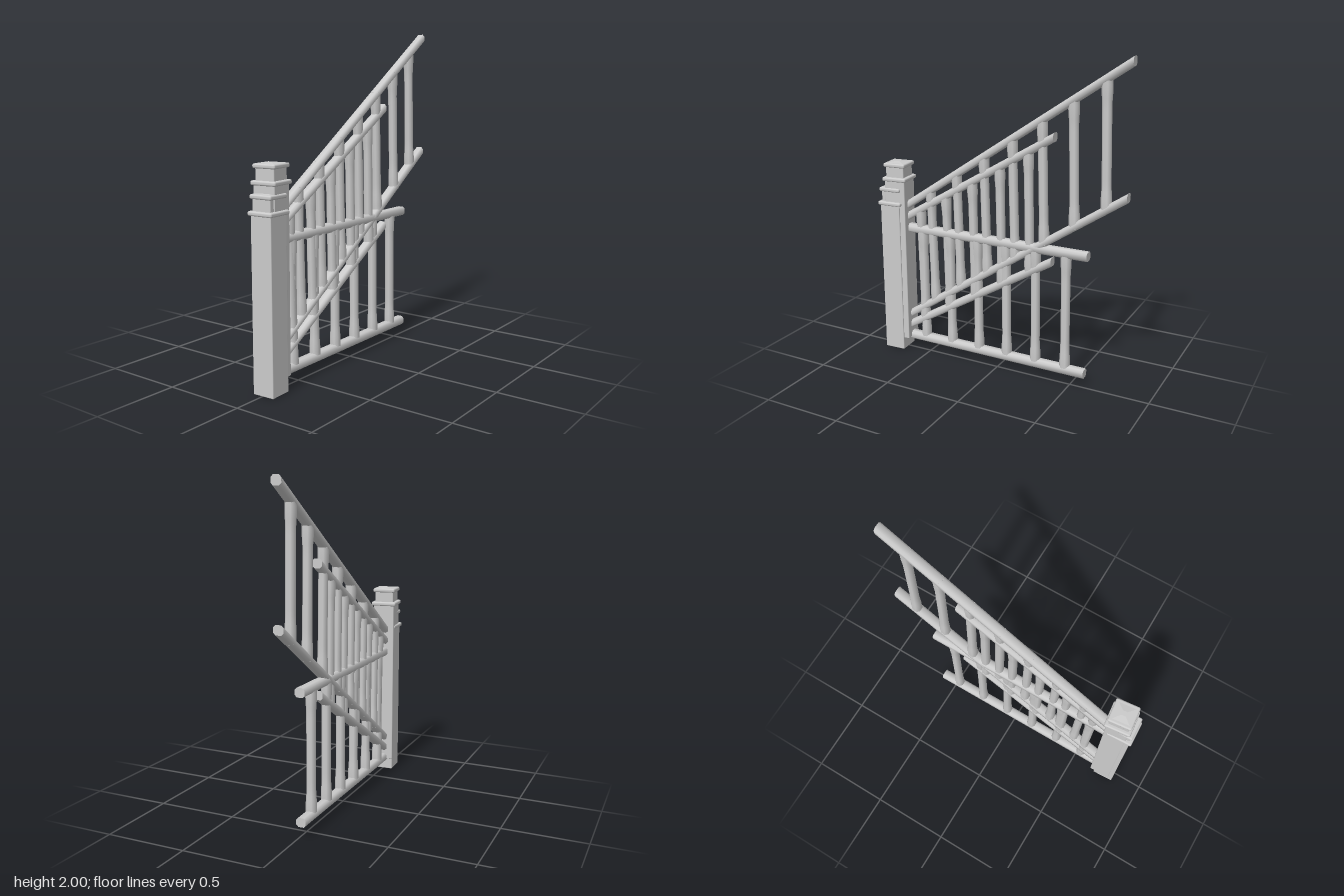
import * as THREE from 'three';
import { RoundedBoxGeometry } from 'three/addons/geometries/RoundedBoxGeometry.js';
import { toCreasedNormals } from 'three/addons/utils/BufferGeometryUtils.js';

const material = new THREE.MeshStandardMaterial({ color: 0xcccccc });
const railZ = -0.01;

function addMesh(parent, name, geometry, x = 0, y = 0, z = 0) {
  const mesh = new THREE.Mesh(geometry, material);
  mesh.name = name;
  mesh.position.set(x, y, z);
  parent.add(mesh);
  return mesh;
}

// Rectangle with chamfered corners
function chamferedRect(w, h, c) {
  const a = w / 2, b = h / 2;
  return new THREE.Shape([
    [a - c, -b], [a, c - b], [a, b - c], [a - c, b],
    [c - a, b], [-a, b - c], [-a, c - b], [c - a, -b],
  ].map(([x, y]) => new THREE.Vector2(x, y)));
}

// Rail sheared upward along x, so its ends stay vertical
function railGeometry(length, slope) {
  const g = new THREE.ExtrudeGeometry(chamferedRect(0.06, 0.055, 0.013), { depth: length, bevelEnabled: false });
  g.rotateY(Math.PI / 2);
  const p = g.attributes.position;
  for (let i = 0; i < p.count; i++) p.setY(i, p.getY(i) + p.getX(i) * slope);
  g.computeVertexNormals();
  return toCreasedNormals(g, 0.9);
}

// Upright bar, a little thicker at both ends, leaning by `lean` from foot to head
function balusterGeometry(height, lean) {
  const steps = 20;
  const g = new THREE.ExtrudeGeometry(chamferedRect(0.05, 0.05, 0.013), { depth: height, steps, bevelEnabled: false });
  g.rotateX(-Math.PI / 2);
  const p = g.attributes.position;
  for (let i = 0; i < p.count; i++) {
    const t = p.getY(i) / height;
    const end = Math.min(t, 1 - t);
    const s = 1 + 0.18 * (1 - THREE.MathUtils.smoothstep(end, 0.08, 0.2));
    p.setX(i, p.getX(i) * s + lean * (0.5 - t));
    p.setZ(i, p.getZ(i) * s);
  }
  g.computeVertexNormals();
  return toCreasedNormals(g, 0.9);
}

// Two parallel rails with evenly spaced balusters between them
function railing({ name, end, low, high, slope, first, spacing, count, lean }) {
  const group = new THREE.Group();
  group.name = name;
  const start = -0.65;
  const rail = railGeometry(end - start, slope);
  addMesh(group, 'lowerRail', rail, start, low, railZ);
  addMesh(group, 'upperRail', rail, start, high, railZ);
  const baluster = balusterGeometry(high - low, lean);
  for (let i = 0; i < count; i++) {
    const x = first + i * spacing;
    addMesh(group, 'baluster', baluster, x, low + (x - start) * slope, railZ);
  }
  return group;
}

// Square newel post with collar, neck and shallow pyramid cap
function newelPost(name, x, y, z, bodyHeight, turn) {
  const group = new THREE.Group();
  group.name = name;
  group.position.set(x, y, z);
  group.rotation.y = turn;
  const block = (part, size, bottom, height, r = 0.005) =>
    addMesh(group, part, new RoundedBoxGeometry(size, height, size, 2, r), 0, bottom + height / 2, 0);
  block('body', 0.137, 0, bodyHeight + 0.01);
  block('collar', 0.163, bodyHeight, 0.026, 0.01);
  block('neck', 0.122, bodyHeight + 0.015, 0.09);
  block('cap', 0.147, bodyHeight + 0.09, 0.026, 0.01);
  const peak = new THREE.CylinderGeometry(0.02, 0.093, 0.008, 4, 1).toNonIndexed();
  peak.rotateY(Math.PI / 4);
  peak.computeVertexNormals();
  addMesh(group, 'capPeak', peak, 0, bodyHeight + 0.118, 0);
  return group;
}

export function createModel() {
  const model = new THREE.Group();
  model.name = 'stairRailing';

  // Two posts set into one another
  model.add(newelPost('lowerPost', -0.738, 0, 0.005, 0.99, 0.05));
  model.add(newelPost('upperPost', -0.706, 0.08, -0.002, 1.07, 0.11));

  model.add(railing({
    name: 'steepRailing', end: 0.815, low: 0.238, high: 0.988, slope: 0.671,
    first: -0.465, spacing: 0.19, count: 7, lean: 0.024,
  }));
  model.add(railing({
    name: 'shortRailing', end: 0.365, low: 0.163, high: 0.913, slope: 0.6,
    first: -0.545, spacing: 0.188, count: 5, lean: 0.018,
  }));
  model.add(railing({
    name: 'levelRailing', end: 0.59, low: 0.09, high: 0.84, slope: 0,
    first: -0.535, spacing: 0.198, count: 6, lean: 0.008,
  }));
  return model;
}
